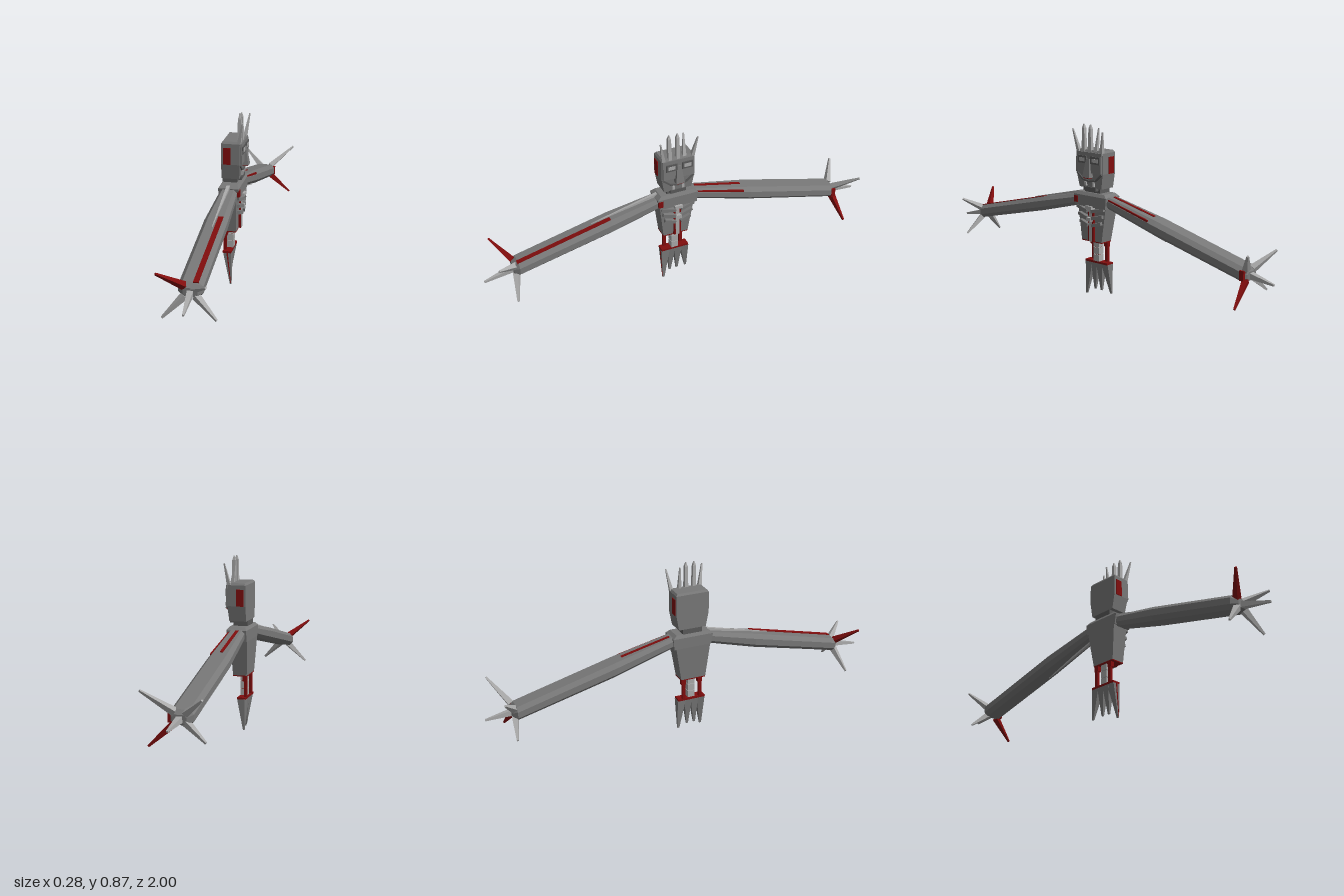
import * as THREE from 'three';

const paint = (name, hex) => {
  const m = new THREE.MeshStandardMaterial({ color: hex });
  m.name = name;
  return m;
};

export function createModel() {
  const model = new THREE.Group();
  model.name = 'clawedFigure';
  const grey = paint('stone grey', 0x787878);
  const dark = paint('dark grey', 0x5a5a5a);
  const light = paint('pale grey', 0xaaaaaa);
  const red = paint('dark red', 0x800d0d);

  // Adds a faceted mesh
  const add = (name, geo, mat) => {
    const g = geo.index ? geo.toNonIndexed() : geo;
    g.computeVertexNormals();
    const mesh = new THREE.Mesh(g, mat);
    mesh.name = name;
    model.add(mesh);
    return mesh;
  };

  const box = (name, mat, x0, x1, y0, y1, z0, z1) =>
    add(name, new THREE.BoxGeometry(x1 - x0, y1 - y0, z1 - z0)
      .translate((x0 + x1) / 2, (y0 + y1) / 2, (z0 + z1) / 2), mat);

  // Block with different rectangles [x0, x1, z0, z1] at its bottom and top
  const taper = (name, mat, y0, lo, y1, hi) => {
    const g = new THREE.BoxGeometry(2, 2, 2);
    const p = g.attributes.position;
    for (let i = 0; i < p.count; i++) {
      const up = p.getY(i) > 0, r = up ? hi : lo;
      p.setXYZ(i, p.getX(i) > 0 ? r[1] : r[0], up ? y1 : y0, p.getZ(i) > 0 ? r[3] : r[2]);
    }
    return add(name, g, mat);
  };

  // Four-sided spike between two points
  const spike = (name, mat, from, to, r0, r1) => {
    const a = new THREE.Vector3(...from), b = new THREE.Vector3(...to);
    const dir = b.clone().sub(a), len = dir.length();
    const mesh = add(name, new THREE.CylinderGeometry(r1, r0, len, 4).rotateY(Math.PI / 4), mat);
    mesh.position.copy(a).lerp(b, 0.5);
    mesh.quaternion.setFromUnitVectors(new THREE.Vector3(0, 1, 0), dir.normalize());
  };

  // Thin strip between two points
  const strip = (name, mat, from, to, w, h) => {
    const a = new THREE.Vector3(...from), b = new THREE.Vector3(...to);
    const mesh = add(name, new THREE.BoxGeometry(w, h, a.distanceTo(b)), mat);
    mesh.position.copy(a).lerp(b, 0.5);
    mesh.lookAt(b);
  };

  // Eight-sided loft along z; each section is [z, centre y, x0, x1, half height]
  const loft = (name, mat, sections) => {
    const pos = [], idx = [], n = 8;
    for (const [z, y, x0, x1, h] of sections) {
      const c = (x1 - x0) * 0.18, k = h * 0.45;
      const ring = [[x1, -k], [x1, k], [x1 - c, h], [x0 + c, h], [x0, k], [x0, -k], [x0 + c, -h], [x1 - c, -h]];
      for (const [px, py] of ring) pos.push(px, y + py, z);
    }
    for (let s = 0; s < sections.length - 1; s++) for (let j = 0; j < n; j++) {
      const a = s * n + j, b = s * n + (j + 1) % n;
      idx.push(a, b, b + n, a, b + n, a + n);
    }
    const last = (sections.length - 1) * n;
    for (let j = 1; j < n - 1; j++) idx.push(0, j + 1, j, last, last + j, last + j + 1);
    const g = new THREE.BufferGeometry();
    g.setAttribute('position', new THREE.Float32BufferAttribute(pos, 3));
    g.setIndex(idx);
    add(name, g, mat);
  };

  // Arms
  const leftY = z => 0.49 - (z - 0.1) * 0.236;
  const rightY = z => 0.49 + (z + 0.07) * 0.26;
  loft('armPlusZ', grey, [
    [0.08, leftY(0.08), -0.045, 0.035, 0.028], [0.37, leftY(0.37), -0.065, 0.045, 0.036],
    [0.835, leftY(0.835), -0.065, 0.045, 0.034], [0.86, leftY(0.86), -0.04, 0.025, 0.02]]);
  loft('armMinusZ', grey, [
    [-0.88, rightY(-0.88), -0.04, 0.025, 0.02], [-0.86, rightY(-0.86), -0.065, 0.045, 0.034],
    [-0.37, rightY(-0.37), -0.065, 0.045, 0.036], [-0.05, rightY(-0.05), -0.045, 0.035, 0.028]]);

  // Red stripes and pale slivers along the arms
  strip('armStripe', red, [0.013, leftY(0.37) + 0.036, 0.37], [0.013, leftY(0.84) + 0.034, 0.84], 0.024, 0.006);
  strip('armStripe', red, [-0.012, rightY(-0.33) + 0.035, -0.33], [-0.012, rightY(-0.08) + 0.028, -0.08], 0.015, 0.006);
  strip('armStripe', red, [0.038, rightY(-0.33) + 0.021, -0.33], [0.029, rightY(-0.08) + 0.017, -0.08], 0.01, 0.009);
  spike('armSliver', light, [-0.008, 0.52, 0.12], [-0.008, 0.445, 0.46], 0.012, 0.002);
  spike('armSliver', light, [0.0, 0.455, -0.09], [0.0, 0.352, -0.41], 0.01, 0.002);

  // Claws: [tip, material]
  const hands = [
    [[-0.01, 0.315, 0.845], [
      [[-0.135, 0.415, 0.93], red], [[0.08, 0.378, 0.94], light], [[-0.128, 0.19, 0.875], light],
      [[0.11, 0.2, 0.875], light], [[0, 0.275, 1], light]]],
    [[-0.01, 0.285, -0.865], [
      [[0.137, 0.408, -0.95], light], [[-0.125, 0.38, -0.93], light], [[-0.125, 0.19, -0.885], light],
      [[0.128, 0.157, -0.885], red], [[0, 0.26, -1], light]]],
  ];
  for (const [palm, claws] of hands) for (const [tip, mat] of claws) {
    const base = palm.map((v, i) => v + (tip[i] - v) * (i === 2 ? 0.05 : 0.2));
    spike('claw', mat, base, tip, 0.02, 0.006);
  }
  box('wristPatch', red, 0.02, 0.047, 0.262, 0.308, -0.872, -0.85);

  // Torso with shoulders
  taper('chest', grey, 0.285, [-0.045, 0.025, -0.03, 0.1], 0.46, [-0.055, 0.03, -0.06, 0.12]);
  taper('shoulders', grey, 0.46, [-0.055, 0.045, -0.07, 0.125], 0.515, [-0.055, 0.045, -0.075, 0.135]);
  taper('collar', grey, 0.515, [-0.055, 0.045, -0.075, 0.135], 0.53, [-0.045, 0.035, -0.055, 0.115]);
  box('shoulderPatch', red, 0.03, 0.049, 0.475, 0.507, 0.108, 0.132);
  box('chestUnderside', red, -0.045, 0.025, 0.28, 0.287, -0.03, 0.1);

  // Ribs, mirrored about the breastbone
  for (let i = 0; i < 3; i++) for (const s of [-1, 1]) {
    const y = 0.452 - i * 0.036, w = 0.085 - i * 0.009;
    strip('rib', grey, [0.04 - i * 0.002, y - 0.012, 0.03 + s * 0.012], [0.03, y + 0.004, 0.03 + s * w], 0.03, 0.016);
  }
  box('breastbone', light, 0.025, 0.057, 0.45, 0.466, 0.01, 0.05);
  box('breastboneKnob', light, 0.025, 0.055, 0.39, 0.408, 0.015, 0.045);
  box('breastboneColumn', light, 0.02, 0.04, 0.285, 0.46, 0.02, 0.04);
  for (const z of [0.016, 0.044]) box('chestStripe', red, 0.02, 0.038, 0.285, 0.46, z - 0.004, z + 0.004);

  // Spine and hip frame
  for (let i = 0; i < 3; i++) box('vertebra', light, -0.035, 0, 0.176 + i * 0.037, 0.21 + i * 0.037, 0.01, 0.047);
  box('spineCore', red, -0.03, -0.005, 0.17, 0.285, 0.015, 0.042);
  for (const z of [0.073, -0.015]) {
    box('hipPost', red, -0.042, -0.028, 0.17, 0.285, z - 0.008, z + 0.008);
    box('hipJoint', red, -0.042, -0.022, 0.255, 0.285, z - 0.012, z + 0.012);
  }
  box('hipPlate', red, -0.042, 0, 0.167, 0.177, -0.045, 0.1);

  // Hanging fangs: [z at top, half width, tip z, tip x, tip y]
  for (const [z, w, tz, tx, ty] of [[0.078, 0.022, 0.092, -0.003, 0], [0.044, 0.02, 0.05, -0.02, 0.025],
    [0.01, 0.02, 0.01, -0.022, 0.025], [-0.025, 0.022, -0.043, -0.034, 0.015]]) {
    taper('fang', grey, ty, [tx - 0.004, tx + 0.003, tz - 0.005, tz + 0.005], 0.168, [-0.04, -0.001, z - w, z + w]);
  }
  spike('fangEdge', red, [-0.02, 0.168, 0.098], [-0.003, 0.005, 0.097], 0.005, 0.002);

  // Head
  box('neck', dark, -0.045, 0.025, 0.525, 0.555, -0.02, 0.08);
  taper('jaw', grey, 0.555, [-0.045, 0.04, -0.042, 0.1], 0.63, [-0.045, 0.046, -0.055, 0.115]);
  box('skull', grey, -0.045, 0.046, 0.63, 0.732, -0.055, 0.115);
  taper('skullTop', grey, 0.732, [-0.045, 0.046, -0.055, 0.115], 0.742, [-0.038, 0.04, -0.047, 0.107]);
  box('chin', dark, 0.02, 0.046, 0.542, 0.56, -0.01, 0.07);
  taper('facePlate', grey, 0.632, [0.04, 0.056, -0.05, 0.11], 0.732, [0.04, 0.053, -0.05, 0.11]);
  for (const z of [-0.0565, 0.1165]) box('templePanel', red, -0.035, 0.002, 0.63, 0.712, z - 0.002, z + 0.002);

  // Face
  for (const z of [-0.014, 0.068]) {
    box('eyeSocket', dark, 0.05, 0.058, 0.677, 0.714, z - 0.028, z + 0.028);
    box('eye', light, 0.052, 0.06, 0.686, 0.704, z - 0.018, z + 0.018);
  }
  taper('nose', grey, 0.61, [0.045, 0.075, 0.008, 0.052], 0.7, [0.045, 0.06, 0.02, 0.04]);
  box('noseUnderside', red, 0.046, 0.072, 0.606, 0.611, 0.012, 0.048);
  for (const s of [-1, 1]) {
    strip('mouth', dark, [0.046, 0.588, 0.03], [0.046, 0.595, 0.03 + s * 0.04], 0.008, 0.008);
    strip('mouth', dark, [0.047, 0.595, 0.03 + s * 0.04], [0.047, 0.628, 0.03 + s * 0.08], 0.008, 0.008);
  }
  for (const z of [0.005, 0.055]) box('tooth', light, 0.04, 0.05, 0.565, 0.585, z - 0.006, z + 0.006);

  // Crown spikes: [base z, tip x, tip y, tip z]
  for (const [z, tx, ty, tz] of [[0.1, 0.06, 0.84, 0.125], [0.03, 0.037, 0.845, 0.03], [0.07, 0.037, 0.845, 0.073],
    [-0.005, 0.02, 0.85, -0.008], [-0.042, 0.058, 0.838, -0.065]]) {
    const leaf = tx === 0.037;
    spike('crownSpike', light, [0.037, 0.715, z], [tx, ty, tz], 0.014, leaf ? 0.011 : 0.004);
    if (leaf) spike('crownTip', light, [tx, ty, tz], [tx, 0.866, tz], 0.011, 0.003);
  }
  return model;
}
